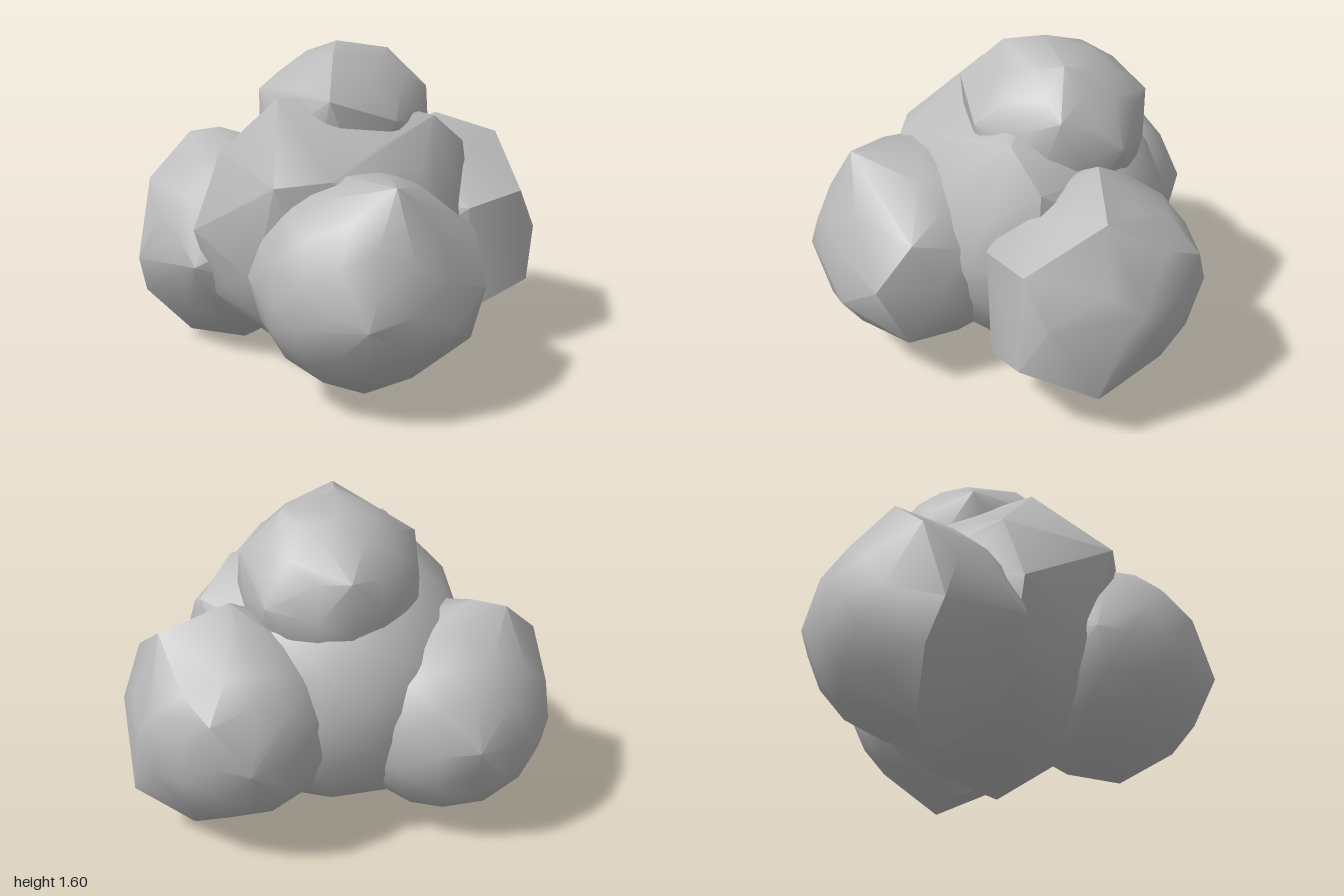
import * as THREE from 'three';
import { toCreasedNormals } from 'three/addons/utils/BufferGeometryUtils.js';
import { ConvexGeometry } from 'three/addons/geometries/ConvexGeometry.js';

// Convex skin stretched over a ball and a few protruding corners
function lumpGeometry(center, radius, corners) {
  const points = corners.map((c) => new THREE.Vector3(...c));
  const ball = new THREE.IcosahedronGeometry(radius, 2).translate(...center);
  const pos = ball.getAttribute('position');
  for (let i = 0; i < pos.count; i++) {
    const p = new THREE.Vector3().fromBufferAttribute(pos, i);
    if (!points.some((q) => q.distanceTo(p) < 0.02)) points.push(p);
  }
  return toCreasedNormals(new ConvexGeometry(points), 0.65);
}

export function createModel() {
  const group = new THREE.Group();
  group.name = 'lumpCluster';
  const grey = new THREE.MeshStandardMaterial({ color: 0xbababa });
  grey.name = 'grey';

  const addLump = (name, center, radius, corners) => {
    const mesh = new THREE.Mesh(lumpGeometry(center, radius, corners), grey);
    mesh.name = name;
    group.add(mesh);
  };

  // Large middle lump
  addLump('coreLump', [-0.02, 0.69, -0.14], 0.65, [
    [-0.31, 1.38, 0.08], [-0.72, 0.74, 0.05], [-0.58, 1.1, -0.05],
    [-0.63, 0.4, 0], [0.68, 0.64, -0.1], [0.62, 1.1, -0.12], [0.45, 1.26, 0],
    [-0.36, 1.05, 0.46], [-0.1, 1.08, 0.49], [0.05, 0.01, -0.03], [0.29, 0.04, -0.1]]);

  // Three lumps around it
  addLump('frontLump', [0.05, 0.59, 0.41], 0.51, [
    [0, 0.54, 0.95], [0.15, 1.11, 0.72], [0.56, 0.83, 0.45], [0.58, 0.6, 0.62],
    [0.55, 0.3, 0.48], [-0.48, 0.61, 0.37], [0.05, 0.04, 0.48],
    [0.42, 0.45, 0.79], [-0.3, 0.5, 0.79]]);
  addLump('leftLump', [0.52, 0.63, -0.38], 0.48, [
    [0.9, 0.86, -0.02], [1, 0.64, -0.12], [0.94, 0.4, 0], [0.62, 0.28, 0.1],
    [1, 0.28, -0.35], [0.74, 0.1, -0.43], [0.38, 0.09, -0.3], [0.61, 0.82, 0.12],
    [0.53, 1.19, -0.38], [0.85, 1.08, -0.38], [0.98, 0.7, -0.54], [0.55, 0.6, -0.89],
    [0.71, 0.83, -0.82]]);
  addLump('rightLump', [-0.47, 0.57, -0.43], 0.5, [
    [-0.72, 1.09, -0.53], [-0.57, 1.12, -0.48], [-0.93, 0.89, -0.38],
    [-1, 0.5, -0.27], [-0.97, 0.3, -0.35], [-0.72, 0.55, 0.06],
    [-0.47, 0, -0.38], [-0.46, 0.6, -0.96], [-0.73, 0.6, -0.86], [-0.75, 0.05, -0.4]]);

  // Lump on top
  addLump('topLump', [0.04, 1.16, -0.24], 0.42, [
    [0, 1.6, -0.19], [0.26, 1.55, -0.25], [-0.04, 1.57, 0], [0.45, 1.36, -0.22],
    [0.24, 1.27, 0.15], [-0.08, 1.38, 0.2], [-0.38, 1.37, -0.2],
    [0.05, 1.34, -0.66], [0.4, 1.2, -0.51]]);

  return group;
}
